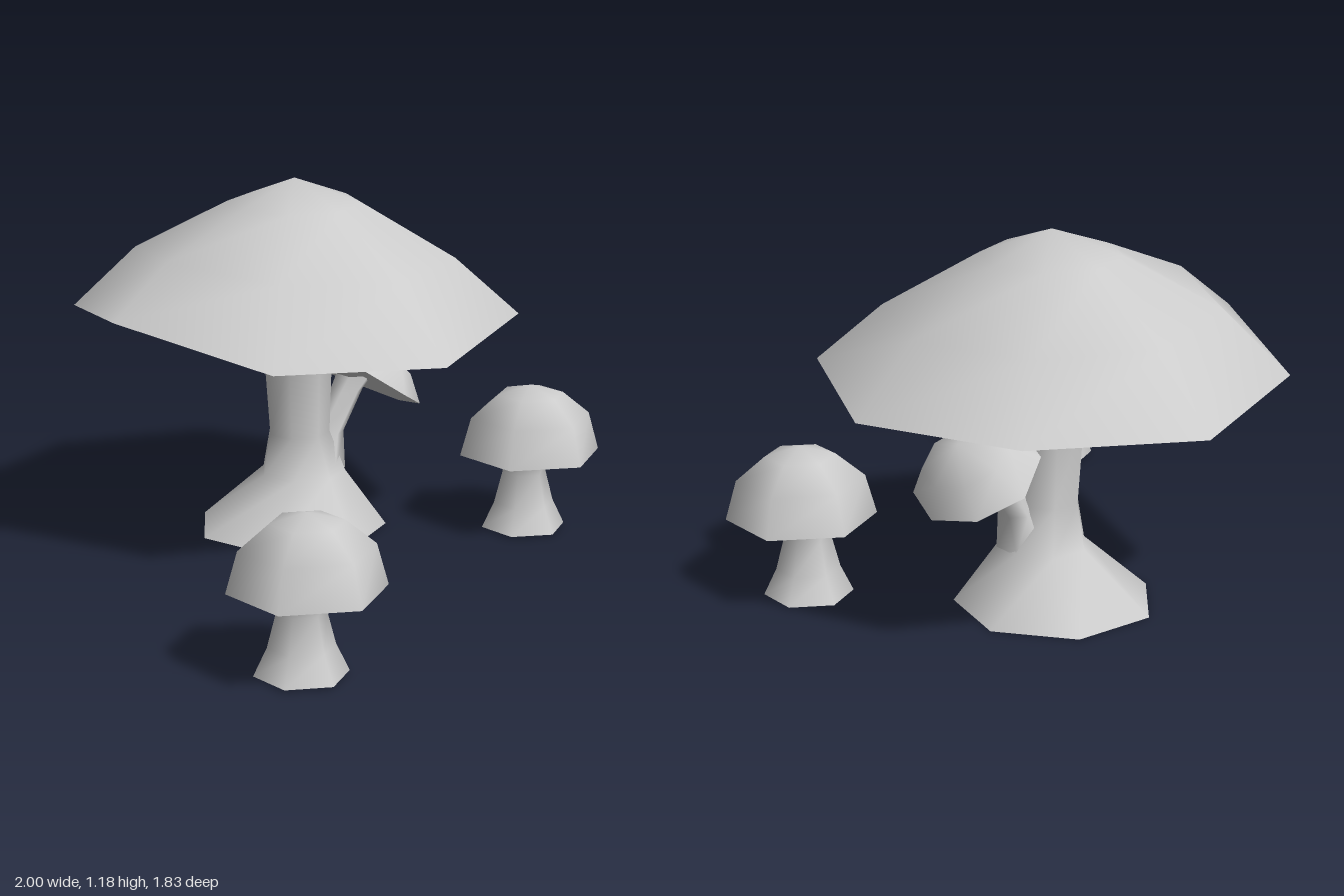
import * as THREE from 'three';

const material = new THREE.MeshStandardMaterial({ color: 0xcccccc });

// Skins a stack of polygon rings { r, y, x, z }; y may be one height or one per corner.
// A ring with r = 0 becomes a single point. Rings run from the bottom (or the centre) outward.
function loft(name, sides, rings) {
  const pos = [], index = [], rows = [];
  for (const { r, y, x = 0, z = 0 } of rings) {
    const row = [];
    for (let i = 0; i < sides; i++) {
      if (r > 0 || i === 0) {
        const a = (i / sides) * Math.PI * 2;
        pos.push(x + r * Math.cos(a), Array.isArray(y) ? y[i] : y, z + r * Math.sin(a));
      }
      row.push(pos.length / 3 - 1);
    }
    rows.push(row);
  }
  for (let k = 0; k + 1 < rows.length; k++) {
    const lo = rows[k], up = rows[k + 1];
    for (let i = 0; i < sides; i++) {
      const j = (i + 1) % sides;
      if (lo[i] !== lo[j]) index.push(lo[i], up[i], lo[j]);
      if (up[i] !== up[j]) index.push(up[i], up[j], lo[j]);
    }
  }
  const geo = new THREE.BufferGeometry();
  geo.setAttribute('position', new THREE.Float32BufferAttribute(pos, 3));
  geo.setIndex(index);
  geo.computeVertexNormals();
  const mesh = new THREE.Mesh(geo, material);
  mesh.name = name;
  return mesh;
}

function group(name, ...parts) {
  const g = new THREE.Group();
  g.name = name;
  g.add(...parts);
  return g;
}

// Large mushroom: uneven eight-sided cap on a seven-sided stem that flares into it
function largeMushroom() {
  const c = { x: -0.274, z: -0.11 };
  const rim = { ...c, r: 0.726, y: [0.70, 0.72, 0.82, 0.75, 0.71, 0.73, 0.72, 0.75] };
  const shoulder = { ...c, r: 0.52, y: [0.93, 0.95, 0.98, 0.95, 0.93, 0.93, 0.93, 0.93] };
  const foot = { r: 0.318, y: 0, x: -0.318, z: -0.125 };
  return group('largeMushroom',
    loft('largeCap', 8, [rim, shoulder, { ...c, r: 0.22, y: 1.105 }, { ...c, r: 0, y: 1.185 }]),
    loft('largeCapUnderside', 8, [{ ...c, r: 0, y: 0.84 }, rim]),
    loft('largeStem', 7, [
      foot,
      { r: 0.142, y: 0.19, x: -0.292, z: -0.155 },
      { r: 0.103, y: 0.33, x: -0.288, z: -0.135 },
      { r: 0.118, y: 0.62, x: -0.28, z: -0.12 },
      { r: 0.135, y: 0.71, x: -0.28, z: -0.125 },
      { r: 0.19, y: 0.79, x: -0.285, z: -0.12 },
      { r: 0.26, y: 0.85, x: -0.28, z: -0.11 },
    ]),
    loft('largeStemBase', 7, [{ ...foot, r: 0 }, foot]));
}

// Small six-sided mushroom, its stem slightly off the cap's centre
function smallMushroom(x, z) {
  const rim = { r: 0.235, y: 0.26 };
  const s = { x: -0.012, z: 0.012 };
  const foot = { ...s, r: 0.14, y: 0.006 };
  const g = group('smallMushroom',
    loft('smallCap', 6, [rim, { r: 0.2, y: 0.385 }, { r: 0.11, y: 0.46 }, { r: 0, y: 0.49 }]),
    loft('smallCapUnderside', 6, [{ r: 0, y: 0.26 }, rim]),
    loft('smallStem', 6, [
      foot,
      { ...s, r: 0.1, y: 0.09 },
      { ...s, r: 0.073, y: 0.195 },
      { r: 0.09, y: 0.27 },
    ]),
    loft('smallStemBase', 6, [{ ...foot, r: 0 }, foot]));
  g.position.set(x, 0, z);
  return g;
}

// Tilted oval mushroom branching from the back of the large stem
function sideMushroom() {
  const x = -0.277;
  const rim = { r: 0.228, y: [-0.012, 0, 0, 0, -0.012, 0, 0, 0] };
  const cap = group('sideCap',
    loft('sideCapTop', 8, [rim, { r: 0.155, y: 0.08 }, { r: 0, y: 0.134 }]),
    loft('sideCapUnderside', 8, [{ r: 0, y: 0 }, rim]));
  cap.position.set(x, 0.465, -0.4);
  cap.rotation.x = -0.56;
  cap.scale.z = 0.88;
  const branch = loft('sideStem', 6, [
    { r: 0.1, y: 0.19, x, z: -0.2 },
    { r: 0.058, y: 0.31, x, z: -0.247 },
    { r: 0.055, y: 0.44, x, z: -0.335 },
    { r: 0.065, y: 0.49, x, z: -0.375 },
  ]);
  return group('sideMushroom', cap, branch);
}

export function createModel() {
  return group('mushroomCluster',
    largeMushroom(),
    sideMushroom(),
    smallMushroom(0.765, 0.712),
    smallMushroom(0.213, -0.712));
}
